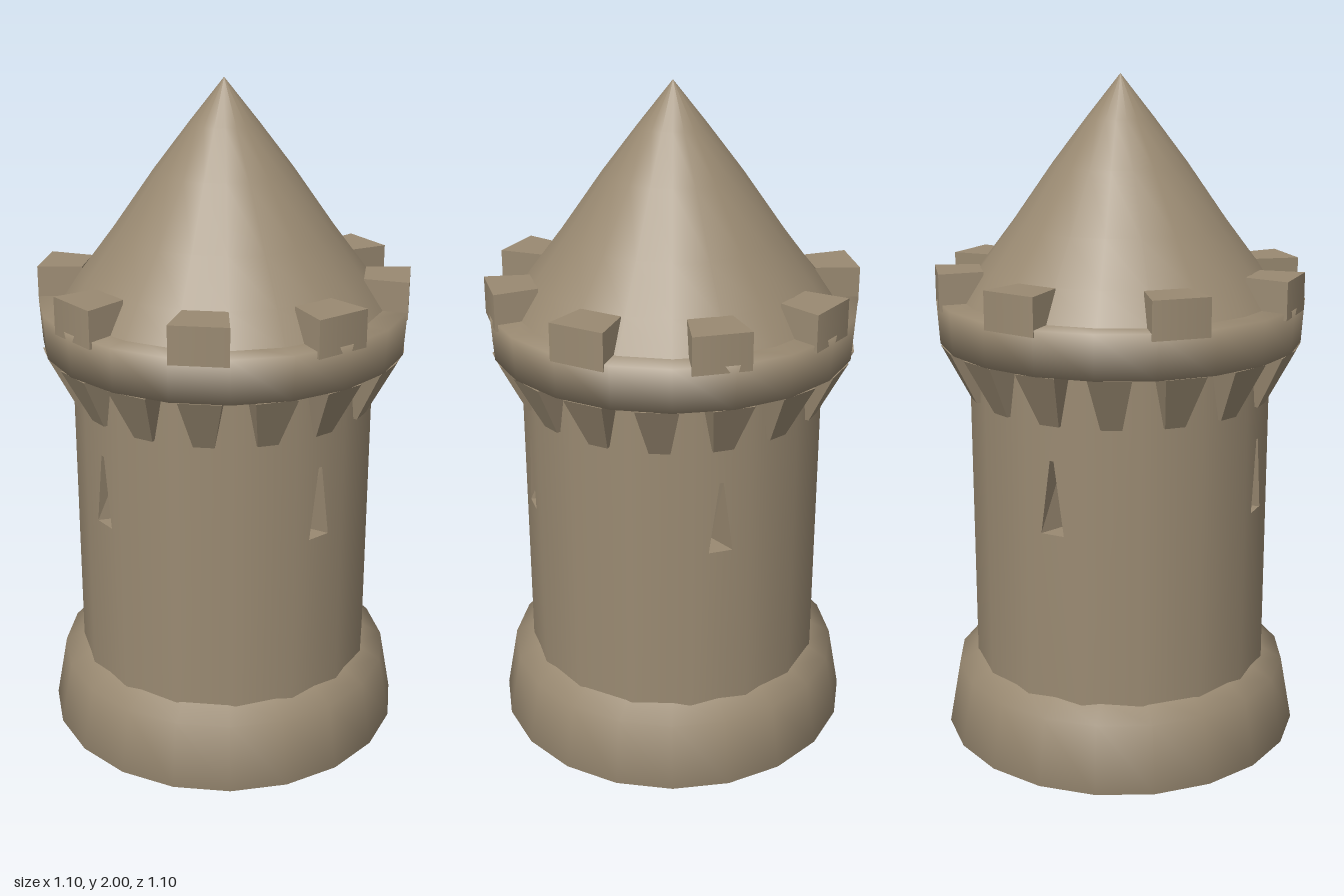
import * as THREE from 'three';

const stone = new THREE.MeshStandardMaterial({ color: 0x9a8a72, side: THREE.DoubleSide });
stone.name = 'stone';

const WALL_R = 0.444;          // distance from the axis to the wall panels
const SLIT = [[-0.036, 0.745], [0.036, 0.745], [0.006, 0.965], [-0.006, 0.965]];

// Solid of revolution with softly shaded edges
function ring(name, points, sides = 20) {
  const pts = points.map(([r, y]) => new THREE.Vector2(r, y));
  const mesh = new THREE.Mesh(new THREE.LatheGeometry(pts, sides), stone);
  mesh.name = name;
  return mesh;
}

// Curved block: a shape in (width, height) extruded inwards from the given radius
function block(name, shape, radius, depth, angle) {
  const geo = new THREE.ExtrudeGeometry(shape, { depth, bevelEnabled: false, curveSegments: 1 });
  const p = geo.attributes.position, n = geo.attributes.normal;
  const dir = new THREE.Vector3();
  geo.translate(0, 0, radius - depth);
  for (let i = 0; i < p.count; i++) {
    p.setX(i, p.getX(i) * p.getZ(i) / radius);
    // inner and outer faces take the normals of the round wall
    if (Math.abs(n.getZ(i)) > 0.9) {
      dir.set(p.getX(i), 0, p.getZ(i)).normalize().multiplyScalar(Math.sign(n.getZ(i)));
      n.setXYZ(i, dir.x, dir.y, dir.z);
    }
  }
  geo.rotateY(angle);
  const mesh = new THREE.Mesh(geo, stone);
  mesh.name = name;
  return mesh;
}

const vectors = (pts) => pts.map(([x, y]) => new THREE.Vector2(x, y));
const rect = (w, y0, y1) => new THREE.Shape(vectors([[-w, y0], [w, y0], [w, y1], [-w, y1]]));

// Wedge-shaped recess closing an arrow slit behind the wall
function slitRecess(angle) {
  const corners = SLIT.map(([x, y]) => [x, y, WALL_R]);
  const back = [[0, 0.745, 0.36], [0, 0.965, 0.36]];
  const source = new THREE.BufferGeometry();
  source.setAttribute('position', new THREE.Float32BufferAttribute([...corners, ...back].flat(), 3));
  source.setIndex([0, 4, 5, 0, 5, 3, 4, 1, 2, 4, 2, 5, 0, 1, 4, 3, 5, 2]);
  const geo = source.toNonIndexed();
  geo.computeVertexNormals();
  geo.rotateY(angle);
  const mesh = new THREE.Mesh(geo, stone);
  mesh.name = 'arrowSlit';
  return mesh;
}

// Bracket under the parapet: slopes outwards and widens towards the top
function corbel(angle) {
  const side = new THREE.Shape(vectors([[0.425, 1.07], [0.455, 1.07], [0.535, 1.23], [0.425, 1.23]]));
  const geo = new THREE.ExtrudeGeometry(side, { depth: 0.12, bevelEnabled: false });
  geo.translate(0, 0, -0.06);
  const p = geo.attributes.position;
  for (let i = 0; i < p.count; i++) {
    const t = (p.getY(i) - 1.07) / 0.16;
    p.setZ(i, p.getZ(i) * (0.5 + 0.5 * t));
  }
  geo.computeVertexNormals();
  geo.rotateY(angle);
  const mesh = new THREE.Mesh(geo, stone);
  mesh.name = 'corbel';
  return mesh;
}

export function createModel() {
  const tower = new THREE.Group();
  tower.name = 'tower';

  // Flared foot, open underneath
  tower.add(ring('foot', [
    [0.425, 0.23], [0.48, 0], [0.548, 0], [0.512, 0.2], [0.44, 0.24],
  ]));

  // Round wall of flat panels, with an arrow slit on each of the four sides
  const wall = new THREE.Group();
  wall.name = 'wall';
  const panels = 16;
  for (let i = 0; i < panels; i++) {
    const angle = i * 2 * Math.PI / panels;
    const shape = rect(WALL_R * Math.tan(Math.PI / panels), 0.21, 1.25);
    if (i % 4 === 0) {
      shape.holes.push(new THREE.Path(vectors(SLIT)));
      wall.add(slitRecess(angle));
    }
    wall.add(block('wallPanel', shape, WALL_R, 0.02, angle));
  }
  tower.add(wall);

  // Corbels carrying the parapet
  const corbels = new THREE.Group();
  corbels.name = 'corbels';
  for (let i = 0; i < 16; i++) corbels.add(corbel(i * Math.PI / 8));
  tower.add(corbels);

  // Parapet ring and its eight slightly uneven merlons
  tower.add(ring('parapet', [
    [0.42, 1.23], [0.538, 1.23], [0.546, 1.36], [0.43, 1.36],
  ]));
  const merlons = new THREE.Group();
  merlons.name = 'merlons';
  for (const degrees of [2, 45, 88, 137, 188, 234, 274, 316]) {
    const angle = THREE.MathUtils.degToRad(90 - degrees);
    merlons.add(block('merlon', rect(0.083, 1.34, 1.45), 0.542, 0.13, angle));
  }
  tower.add(merlons);

  // Pointed roof
  tower.add(ring('roof', [
    [0.475, 1.36], [0.415, 1.45], [0.32, 1.575], [0.2, 1.745], [0.1, 1.875], [0, 2],
  ]));
  return tower;
}
